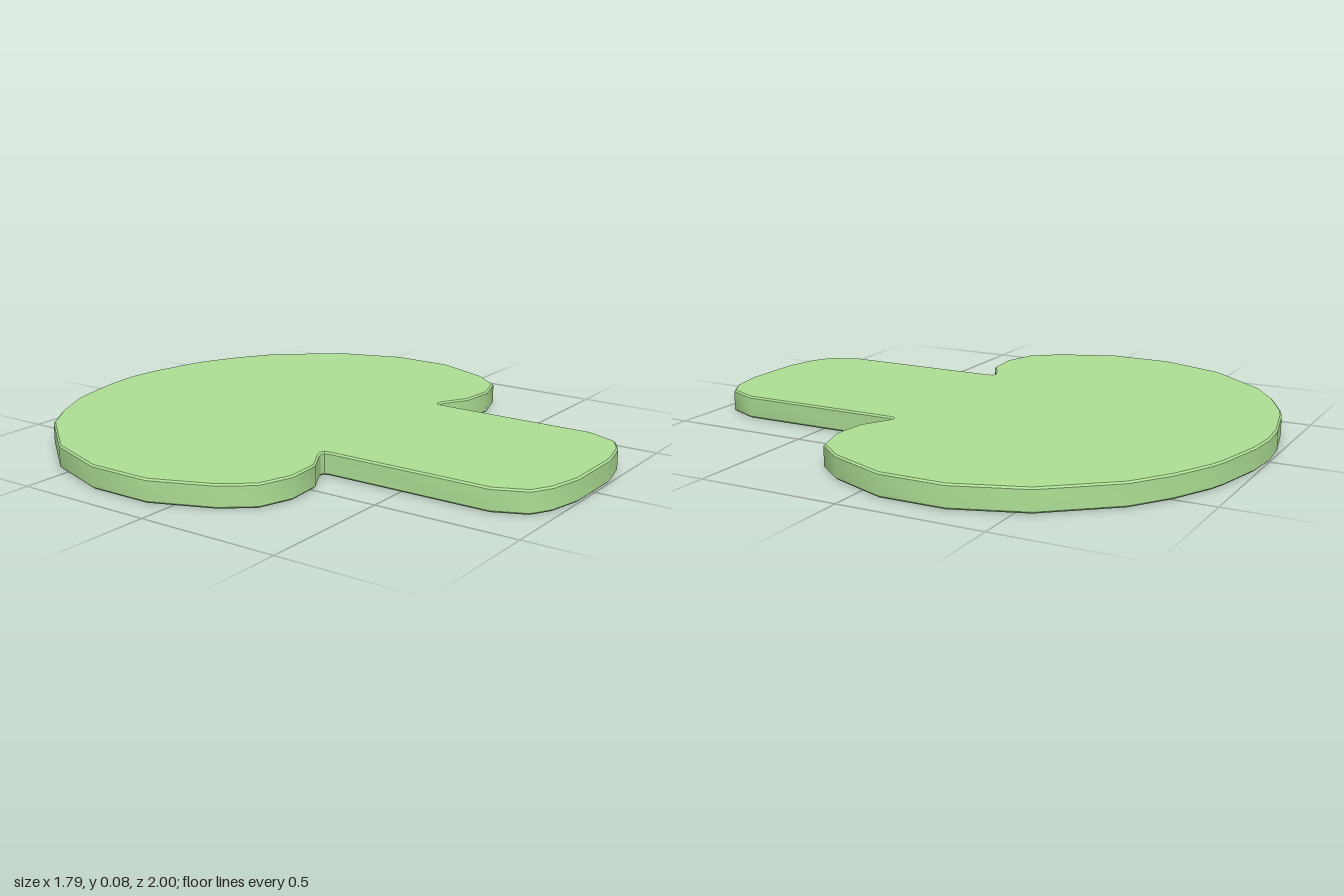
import * as THREE from 'three';
import { toCreasedNormals } from 'three/addons/utils/BufferGeometryUtils.js';

const HEIGHT = 0.08;
const BEVEL = 0.006;

// Half outline as [x, z], from the back of the cap to the foot of the stem
const capHalf = [
  [0, -1], [0.12, -0.99], [0.3, -0.95], [0.36, -0.93], [0.5, -0.86], [0.63, -0.77],
  [0.81, -0.55], [0.895, -0.31], [0.895, -0.08], [0.81, 0.13], [0.73, 0.23],
  [0.61, 0.27], [0.48, 0.26], [0.39, 0.21], [0.37, 0.203], [0.358, 0.207],
];
const stemHalf = [
  [0.354, 0.225], [0.354, 0.82], [0.305, 0.93], [0.235, 0.97], [0.115, 0.997],
];

export function createModel() {
  const group = new THREE.Group();
  group.name = 'mushroomPlate';

  // Mirror the half outline; shape y is -z so the plate can be laid flat
  const half = [...capHalf, ...stemHalf];
  const mirrored = half.slice(1).reverse().map(([x, z]) => [-x, z]);
  const outline = [...half, ...mirrored].map(([x, z]) => new THREE.Vector2(x, -z));

  // Flat plate with a fine chamfer along both rims
  const geometry = new THREE.ExtrudeGeometry(new THREE.Shape(outline), {
    depth: HEIGHT - 2 * BEVEL,
    bevelEnabled: true,
    bevelThickness: BEVEL,
    bevelSize: BEVEL,
    bevelOffset: -BEVEL,
    bevelSegments: 1,
  });
  geometry.translate(0, 0, BEVEL);
  geometry.rotateX(-Math.PI / 2);

  const plate = new THREE.Mesh(
    toCreasedNormals(geometry, 0.7),
    new THREE.MeshStandardMaterial({ color: 0xaee095 }),
  );
  plate.name = 'capAndStem';
  group.add(plate);
  return group;
}
